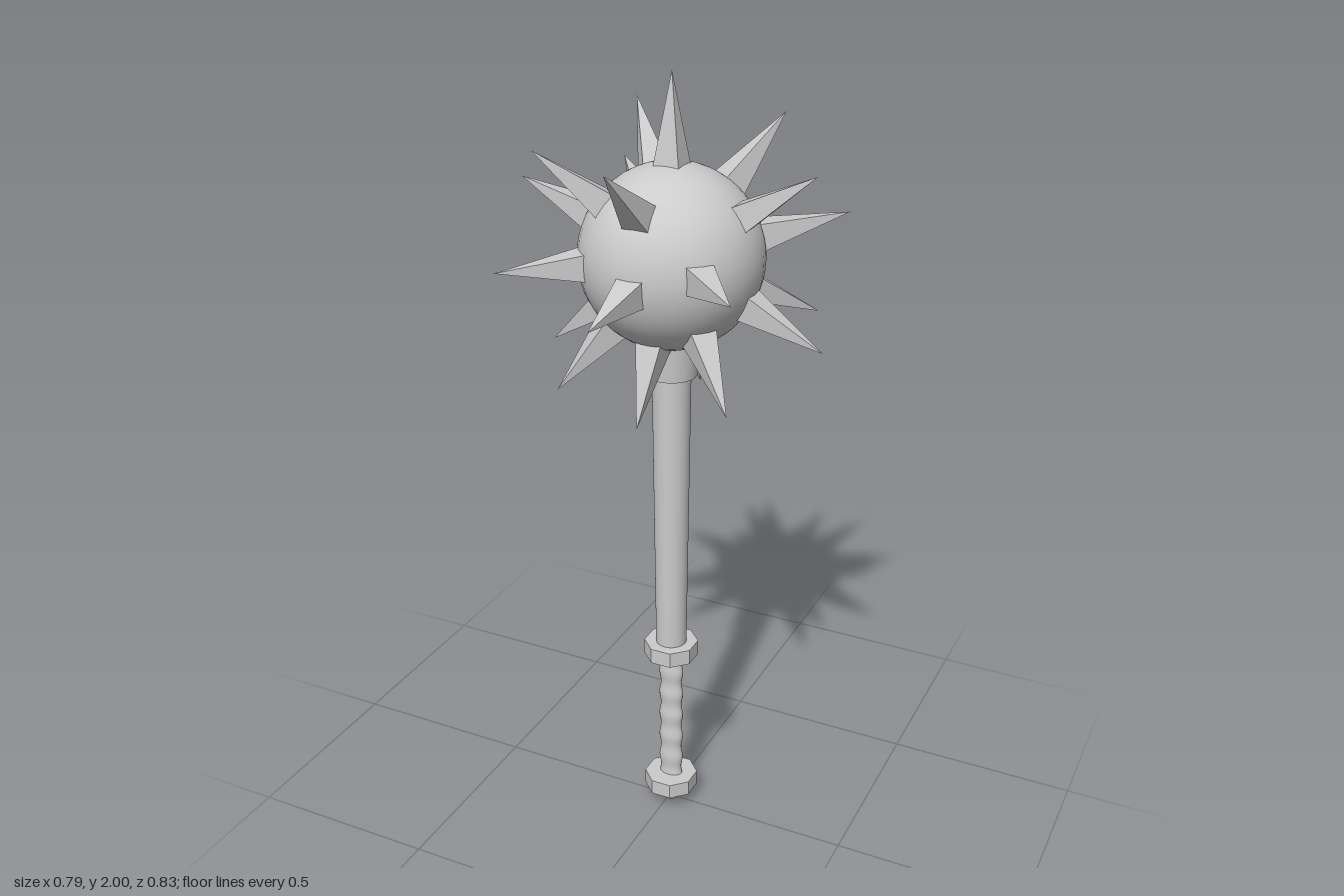
import * as THREE from 'three';

const material = new THREE.MeshStandardMaterial({ color: 0xcccccc });
const flat = new THREE.MeshStandardMaterial({ color: 0xcccccc, flatShading: true });
const AXIS_X = 0.005;
const CENTER = new THREE.Vector3(AXIS_X, 1.57, 0);

// Spike tips relative to the centre of the ball
const TIPS = [
  [0, 0.43, 0],                                   // crown
  [-0.2, 0.313, -0.22], [0.19, 0.313, -0.22],     // upper ring
  [-0.245, 0.27, 0.21], [0, 0.27, 0.33],
  [0.355, 0.23, 0], [-0.4, 0.144, 0],             // middle rings
  [0.365, 0.1, -0.2], [0, 0.1, -0.412],
  [-0.275, 0.14, -0.295], [-0.315, -0.005, 0.28],
  [0.288, 0.02, 0.312], [0, -0.05, 0.415],
  [0, -0.105, -0.412], [-0.28, -0.11, -0.295],
  [0.275, -0.18, -0.265], [0.385, -0.18, 0],
  [-0.325, -0.26, 0], [-0.21, -0.306, 0.19],      // lower rings
  [0.23, -0.296, 0.19], [0, -0.37, 0.19], [0, -0.38, -0.17],
];

function part(name, geometry, y = 0, mat = material) {
  const mesh = new THREE.Mesh(geometry, mat);
  mesh.name = name;
  mesh.position.set(AXIS_X, y, 0);
  return mesh;
}

// Square pyramid whose base sits just inside the ball
function spike(tip) {
  const reach = new THREE.Vector3(...tip);
  const start = 0.205;
  const length = reach.length() - start;
  const geometry = new THREE.ConeGeometry(0.034 * Math.SQRT2, length, 4);
  geometry.rotateY(Math.PI / 4);
  geometry.translate(0, start + length / 2, 0);
  geometry.rotateX(Math.PI / 2);
  const mesh = new THREE.Mesh(geometry, flat);
  mesh.name = 'spike';
  mesh.position.copy(CENTER);
  mesh.lookAt(CENTER.clone().add(reach));
  return mesh;
}

// Eight-sided disc with flats facing the axes
function guard(name, y) {
  const geometry = new THREE.CylinderGeometry(0.071, 0.071, 0.042, 8);
  geometry.rotateY(Math.PI / 8);
  return part(name, geometry, y, flat);
}

export function createModel() {
  const model = new THREE.Group();
  model.name = 'spikedMace';

  // Head
  model.add(part('ball', new THREE.SphereGeometry(0.222, 40, 28), CENTER.y));
  const spikes = new THREE.Group();
  spikes.name = 'spikes';
  for (const tip of TIPS) spikes.add(spike(tip));
  model.add(spikes);

  // Collar and tapered shaft
  model.add(part('collar', new THREE.CylinderGeometry(0.073, 0.064, 0.11, 20), 1.328));
  model.add(part('shaft', new THREE.CylinderGeometry(0.049, 0.04, 0.82, 20), 0.9));

  // Flattened grip with finger waves
  const profile = [];
  const rows = 48;
  for (let i = 0; i <= rows; i++) {
    const t = i / rows;
    profile.push(new THREE.Vector2(0.0315 + 0.0022 * Math.cos(t * Math.PI * 2 * 6), 0.07 + t * 0.41));
  }
  const grip = part('grip', new THREE.LatheGeometry(profile, 20));
  grip.scale.z = 0.65;
  model.add(grip);

  // Guards above and below the grip
  model.add(guard('upperGuard', 0.49), guard('pommel', 0.064));

  // Hanging ring
  const ring = part('hangingRing', new THREE.TorusGeometry(0.031, 0.005, 8, 28), 0.036);
  ring.position.z = 0.016;
  model.add(ring);

  return model;
}
